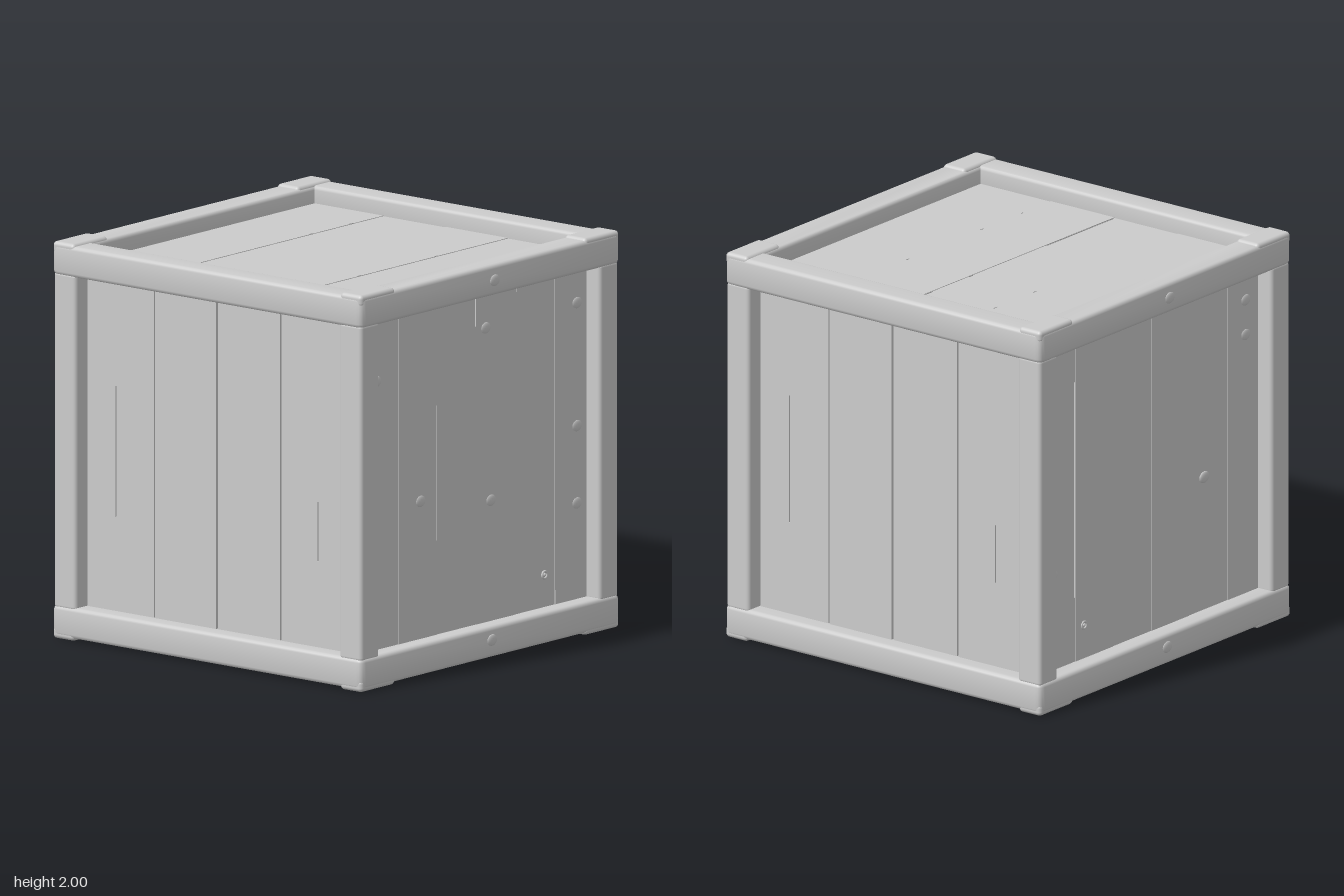
import * as THREE from 'three';
import { toCreasedNormals } from 'three/addons/utils/BufferGeometryUtils.js';
import { RoundedBoxGeometry } from 'three/addons/geometries/RoundedBoxGeometry.js';

const material = new THREE.MeshStandardMaterial({ color: 0xcccccc });
const OUT = 0.994, INNER = 0.845, FACE = 0.9, HALF = 0.841;

function add(parent, name, geometry, x = 0, y = 0, z = 0) {
  const mesh = new THREE.Mesh(geometry, material);
  mesh.name = name;
  mesh.position.set(x, y, z);
  parent.add(mesh);
  return mesh;
}

function rectPath(path, x0, y0, x1, y1) {
  path.moveTo(x0, y0);
  path.lineTo(x1, y0);
  path.lineTo(x1, y1);
  path.lineTo(x0, y1);
  path.closePath();
  return path;
}

// Square ring of beams with softened edges
function ringGeometry() {
  const s = new THREE.Shape(), r = 0.035;
  s.moveTo(-OUT + r, -OUT);
  [[1, -1], [1, 1], [-1, 1], [-1, -1]].forEach(([x, y], i) => {
    const along = i % 2 === 0;
    const before = along ? [x * (OUT - r), y * OUT] : [x * OUT, y * (OUT - r)];
    const after = along ? [x * OUT, y * (OUT - r)] : [x * (OUT - r), y * OUT];
    s.lineTo(...before);
    s.quadraticCurveTo(x * OUT, y * OUT, ...after);
  });
  s.holes.push(rectPath(new THREE.Path(), -INNER, -INNER, INNER, INNER));
  const b = 0.02, height = 0.155;
  const g = new THREE.ExtrudeGeometry(s, {
    depth: height - 2 * b, bevelSize: b, bevelThickness: b, bevelOffset: -b, bevelSegments: 3, curveSegments: 4,
  });
  g.translate(0, 0, b - height / 2);
  g.rotateX(-Math.PI / 2);
  return toCreasedNormals(g, 0.7);
}

// Row of planks in local x, outer face towards local +z.
// joints: [x, gap width]; slits: [x, y0, y1] short open cracks
function panel(parent, name, rotation, joints, slits) {
  const group = new THREE.Group();
  group.name = name;
  group.position.y = 1;
  group.rotation.set(...rotation);
  parent.add(group);
  const cuts = [[-HALF, 0], ...joints, [HALF, 0]];
  for (let i = 0; i < cuts.length - 1; i++) {
    const x0 = cuts[i][0] + cuts[i][1] / 2, x1 = cuts[i + 1][0] - cuts[i + 1][1] / 2;
    const shape = rectPath(new THREE.Shape(), x0, -HALF, x1, HALF);
    for (const [x, y0, y1] of slits) {
      if (x > x0 && x < x1) shape.holes.push(rectPath(new THREE.Path(), x - 0.003, y0, x + 0.003, y1));
    }
    const g = new THREE.ExtrudeGeometry(shape, { depth: 0.03 + (i % 2) * 0.003, bevelEnabled: false });
    add(group, 'plank', g, 0, 0, FACE - 0.03);
  }
  return group;
}

// Flattened wood knots; [x, y] local to a panel
function knots(group, points, z) {
  for (const [x, y] of points) {
    const g = new THREE.SphereGeometry(1, 16, 10);
    g.scale(0.038, 0.03, 0.01);
    add(group, 'woodKnot', g, x, y, z);
  }
}

function nail(group, x, y) {
  add(group, 'nailRim', new THREE.TorusGeometry(0.018, 0.006, 8, 16), x, y, FACE + 0.003);
  add(group, 'nailHead', new THREE.SphereGeometry(0.011, 10, 8), x, y, FACE);
}

export function createModel() {
  const crate = new THREE.Group();
  crate.name = 'crate';

  // Solid core seen through the gaps
  add(crate, 'core', new THREE.BoxGeometry(1.744, 1.744, 1.744), 0, 1, 0);

  // Upper and lower frames
  add(crate, 'bottomFrame', ringGeometry(), 0, 0.0895, 0);
  add(crate, 'topFrame', ringGeometry(), 0, 1.9105, 0);

  // Corner posts and the slightly thicker beam ends
  for (const sx of [-1, 1]) {
    for (const sz of [-1, 1]) {
      const p = (INNER + 0.988) / 2, w = 0.988 - INNER;
      add(crate, 'cornerPost', new RoundedBoxGeometry(w, 1.7, w, 3, 0.02), sx * p, 1, sz * p);
      for (const y of [0.03, 1.97]) {
        add(crate, 'beamEnd', new RoundedBoxGeometry(0.265, 0.06, 0.14, 3, 0.02), sx * 0.86, y, sz * 0.922);
      }
    }
  }

  // Front and back: tight planks with a few cracks
  const tight = [-0.6, -0.31, 0, 0.3, 0.6].map((x) => [x, 0]);
  const front = panel(crate, 'frontPanel', [0, 0, 0], tight,
    [[-0.305, -0.36, 0.32], [-0.005, 0.67, 0.835], [0.606, -0.835, -0.76], [0.305, 0.79, 0.835]]);
  knots(front, [[0.07, 0.65], [-0.77, 0.52], [-0.43, -0.14], [0.11, -0.225],
    [0.77, 0.04], [0.77, -0.35], [0.77, 0.66]], FACE);
  nail(front, 0.52, -0.67);
  const back = panel(crate, 'backPanel', [0, Math.PI, 0], tight, [[-0.606, -0.5, 0.62]]);
  knots(back, [[-0.79, 0.7], [-0.79, 0.5], [0.745, 0.69], [0.745, 0.51], [-0.78, -0.34], [0.42, -0.145]], FACE);
  nail(back, -0.535, -0.66);
  for (const side of [front, back]) knots(side, [[0.03, 0.91], [0.01, -0.9]], OUT - 0.002);

  // Sides: planks with open gaps
  const sideJoints = [[-0.41, 0.009], [-0.01, 0.011], [0.4, 0.011]];
  const sideSlits = [[-0.66, -0.36, 0.3], [0.64, -0.4, -0.1]];
  panel(crate, 'leftPanel', [0, Math.PI / 2, 0], sideJoints, sideSlits);
  panel(crate, 'rightPanel', [0, -Math.PI / 2, 0], sideJoints, sideSlits);

  // Lid and floor: planks laid along x
  const flat = [[-0.4, 0], [0, 0], [0.4, 0]];
  panel(crate, 'topPanel', [-Math.PI / 2, 0, Math.PI / 2], flat,
    [[0.004, 0.3, 0.835], [0.004, -0.835, -0.6], [0.004, -0.31, -0.28], [0.404, -0.62, -0.59],
      [0.404, -0.31, -0.28], [-0.396, 0.28, 0.31], [-0.396, -0.31, -0.28], [-0.396, 0.6, 0.62]]);
  panel(crate, 'bottomPanel', [Math.PI / 2, 0, Math.PI / 2], flat,
    [[-0.396, -0.3, 0.3], [0.004, 0.3, 0.8], [0.004, -0.8, -0.3], [0.404, -0.3, 0.3]]);

  return crate;
}
